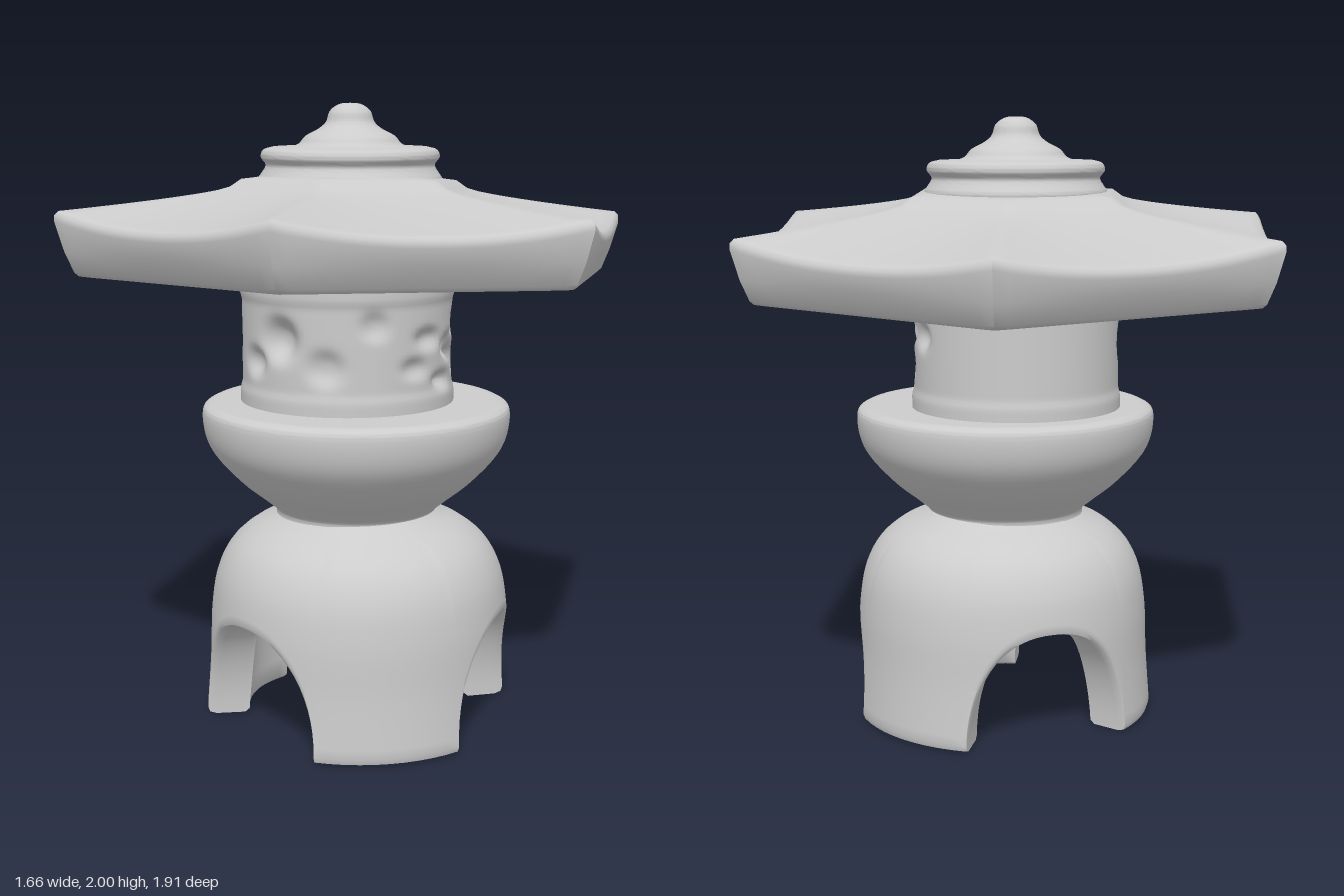
import * as THREE from 'three';
import { toCreasedNormals } from 'three/addons/utils/BufferGeometryUtils.js';

const stone = new THREE.MeshStandardMaterial({ color: 0xcccccc });
const TAU = Math.PI * 2, DEG = Math.PI / 180;
const { lerp, smoothstep } = THREE.MathUtils;

// Closed ring surface: each angle gives a column of [radius, y], listed from the top outward and round below
function ringSurface(angles, column, crease) {
  const pos = [], index = [], n = angles.length;
  let rows = 0;
  angles.forEach((a) => {
    const col = column(a);
    rows = col.length;
    col.forEach(([r, y]) => pos.push(r * Math.cos(a), y, r * Math.sin(a)));
  });
  for (let i = 0; i < n; i++) {
    for (let j = 0; j < rows - 1; j++) {
      const A = i * rows + j, B = ((i + 1) % n) * rows + j;
      index.push(A, B, A + 1, B, B + 1, A + 1);
    }
  }
  const g = new THREE.BufferGeometry();
  g.setAttribute('position', new THREE.Float32BufferAttribute(pos, 3));
  g.setIndex(index);
  g.computeVertexNormals();
  return crease ? toCreasedNormals(g, crease) : g;
}

const evenAngles = (n) => Array.from({ length: n }, (_, i) => (i / n) * TAU);

// Rounded profile through a few points
function smoothProfile(points, n) {
  const curve = new THREE.CatmullRomCurve3(points.map(([r, y]) => new THREE.Vector3(r, y, 0)), false, 'centripetal');
  return curve.getPoints(n).map((p) => [Math.max(p.x, 0), p.y]);
}

function part(name, geometry, x, z) {
  const m = new THREE.Mesh(geometry, stone);
  m.name = name;
  m.position.set(x, 0, z);
  return m;
}

// Hollow domed base on three legs with arched openings
function baseGeometry() {
  const wall = smoothProfile([[0.24, 0.71], [0.27, 0.685], [0.35, 0.645], [0.42, 0.585], [0.465, 0.5], [0.487, 0.38], [0.495, 0.2], [0.51, 0]], 60);
  const radius = (y) => {
    const k = Math.max(1, wall.findIndex((p) => p[1] <= y + 1e-6));
    const [a, b] = [wall[k - 1], wall[k]];
    return lerp(a[0], b[0], THREE.MathUtils.clamp((y - a[1]) / (b[1] - a[1]), 0, 1));
  };
  const half = 33, angles = [];
  for (let s = 0; s < 3; s++) {
    const mid = 66 + s * 120;
    for (let i = 0; i <= 30; i++) angles.push((mid + half * Math.sin((i / 30 - 0.5) * Math.PI)) * DEG);
    for (let i = 1; i < 10; i++) angles.push((mid + half + i * 5.4) * DEG);
  }
  return ringSurface(angles, (a) => {
    const d = Math.abs((((a / DEG - 66 + 60) % 120) + 120) % 120 - 60) / half;
    const h = d < 0.9999 ? 0.375 * Math.pow(1 - Math.pow(d, 2.3), 0.5) : 0;
    const col = [];
    // outer wall
    for (let j = 0; j <= 24; j++) {
      const y = lerp(0.71, h + 0.025, j / 24);
      col.push([radius(y), y]);
    }
    // rounded lip and underside of the leg or arch
    const r = radius(h);
    col.push([r - 0.008, h + 0.007], [r - 0.03, h], [r - 0.125, h], [r - 0.14, h + 0.012]);
    // inner wall and ceiling
    for (let j = 1; j <= 6; j++) col.push([lerp(r - 0.14, 0.335, j / 6), lerp(h + 0.012, 0.42, j / 6)]);
    col.push([0.29, 0.48], [0.2, 0.525], [0, 0.54]);
    return col;
  }, 0.9);
}

// Drum with shallow worn carvings: [angle, height, angular width, height width, depth]
const carvings = [
  [64, 1.24, 9, 0.035, 0.05], [50, 1.31, 7, 0.035, 0.035], [52, 1.19, 6, 0.04, 0.045],
  [88, 1.28, 9, 0.03, 0.025], [98, 1.19, 8, 0.03, 0.02], [30, 1.3, 7, 0.04, 0.03],
  [122, 1.33, 7, 0.04, 0.02], [175, 1.28, 10, 0.06, 0.05], [195, 1.2, 8, 0.04, 0.03],
  [75, 1.14, 8, 0.025, 0.03], [235, 1.27, 10, 0.05, 0.03], [148, 1.2, 9, 0.05, 0.025],
];
function drumGeometry() {
  return ringSurface(evenAngles(120), (a) => {
    const col = [[0, 1.48], [0.33, 1.48], [0.345, 1.465]];
    for (let j = 0; j <= 36; j++) {
      const y = lerp(1.45, 1.03, j / 36);
      let r = 0.34 + 0.007 * smoothstep(Math.abs(y - 1.25), 0.13, 0.16);
      for (const [ca, cy, wa, wy, depth] of carvings) {
        const da = (a / DEG - ca) / wa, dy = (y - cy) / wy;
        r -= depth * Math.exp(-Math.pow(da * da + dy * dy, 1.5));
      }
      col.push([r, y]);
    }
    col.push([0, 1.03]);
    return col;
  });
}

// Six-sided roof with upturned corners, tilted slightly
function roofGeometry() {
  const apothem = 0.828, corner = 0.953;
  const g = ringSurface(evenAngles(144), (a) => {
    const off = ((a / DEG + 90) % 60 + 60) % 60 - 30; // from the middle of a side
    const hex = apothem / Math.cos(off * DEG);
    const k = Math.pow((hex - apothem) / (corner - apothem), 1.1);
    const R = Math.min(hex, corner);
    const col = [[0, 1.77], [0.29, 1.765], [R * 0.38, 1.757], [R * 0.42, 1.732]];
    for (let j = 1; j <= 14; j++) {
      const s = lerp(0.42, 0.985, j / 14), t = (s - 0.42) / 0.565;
      const side = 1.732 - 0.125 * Math.pow(t, 0.8);
      const ridge = 1.732 - 0.078 * Math.pow(t, 0.75);
      col.push([R * s, lerp(side, ridge, k)]);
    }
    const edge = lerp(1.607, 1.654, k);
    col.push([R * 0.998, edge - 0.012], [R, edge - 0.03], [R * 0.97, 1.53], [R * 0.94, 1.465], [R * 0.925, 1.453], [R * 0.9, 1.45], [R * 0.4, 1.45], [0, 1.45]);
    return col;
  }, 0.7);
  const p = g.attributes.position;
  for (let i = 0; i < p.count; i++) p.setY(i, p.getY(i) - 0.035 * p.getX(i) + 0.02 * p.getZ(i));
  return toCreasedNormals(g, 0.7);
}

export function createModel() {
  const group = new THREE.Group();
  group.name = 'stoneLantern';

  group.add(part('leggedBase', baseGeometry(), -0.055, 0.09));

  // Flared bowl-shaped platform
  const bowl = [[0, 1.05], [0.45, 1.053], ...smoothProfile([[0.47, 1.053], [0.492, 1.04], [0.498, 1.015], [0.49, 0.95], [0.465, 0.895], [0.38, 0.8], [0.3, 0.735], [0.262, 0.7], [0.262, 0.68]], 36), [0, 0.67]];
  group.add(part('platform', ringSurface(evenAngles(96), () => bowl, 0.8), -0.06, 0.08));

  group.add(part('lightChamber', drumGeometry(), -0.05, 0.03));
  group.add(part('roof', roofGeometry(), 0, 0));

  // Stepped finial with a round knob
  const cap = [
    ...smoothProfile([[0, 2], [0.035, 1.996], [0.065, 1.975], [0.078, 1.94], [0.1, 1.92], [0.145, 1.895], [0.165, 1.872], [0.19, 1.862]], 30),
    ...smoothProfile([[0.25, 1.862], [0.28, 1.852], [0.288, 1.83], [0.272, 1.805], [0.285, 1.78], [0.296, 1.762], [0.29, 1.735]], 24),
    [0.28, 1.72],
  ];
  group.add(part('finial', ringSurface(evenAngles(72), () => cap, 0.9), -0.006, 0.002));

  return group;
}
